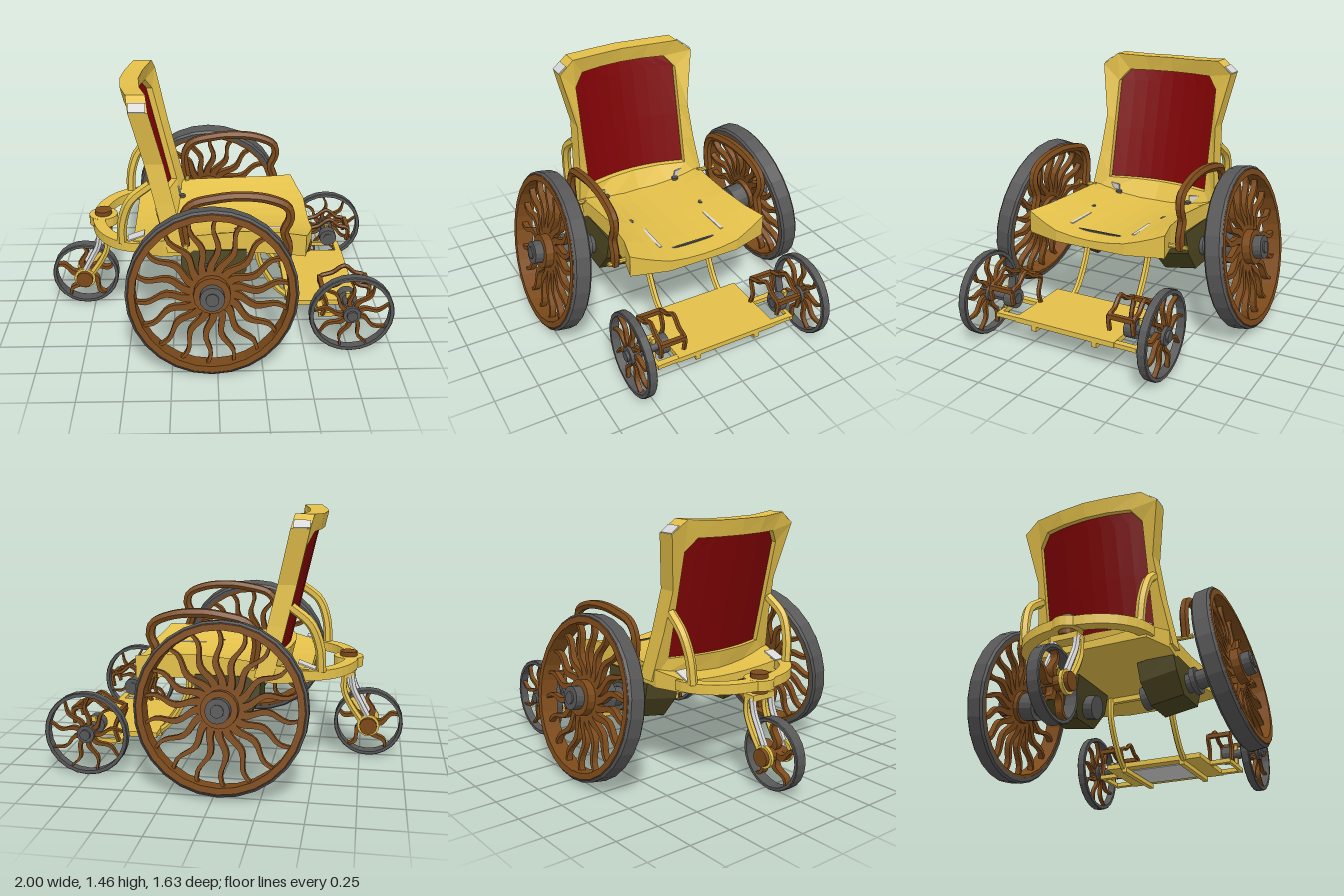
import * as THREE from 'three';

const mat = (name, color, extra = {}) => {
  const m = new THREE.MeshStandardMaterial({ color, flatShading: true, ...extra });
  m.name = name;
  return m;
};
const gold = mat('gold', 0xe3c04a);
const brown = mat('brown', 0x7c4a1a);
const grey = mat('dark grey', 0x575757);
const silver = mat('silver', 0xd8d8d8);
const olive = mat('olive', 0x4a4420);
const red = mat('red', 0x7e0204, { side: THREE.DoubleSide });

function add(parent, name, geometry, material, x = 0, y = 0, z = 0) {
  const m = new THREE.Mesh(geometry, material);
  m.name = name;
  m.position.set(x, y, z);
  parent.add(m);
  return m;
}
const box = (w, h, d) => new THREE.BoxGeometry(w, h, d);
const cylY = (r, h, n = 16) => new THREE.CylinderGeometry(r, r, h, n);
const cylZ = (r, h, n = 16) => cylY(r, h, n).rotateX(Math.PI / 2);
const tube = (pts, r, seg = 16, n = 6) => new THREE.TubeGeometry(
  new THREE.CatmullRomCurve3(pts.map(p => new THREE.Vector3(...p))), seg, r, n);

// Joins equal cross-sections; section points run out along one side and back along the other
function loft(rings, loop = false) {
  const n = rings[0].length, count = rings.length, idx = [];
  const quad = (a, b, c, d) => idx.push(a, b, c, a, c, d);
  for (let i = 0; i < (loop ? count : count - 1); i++) {
    const a = i * n, b = ((i + 1) % count) * n;
    for (let j = 0; j < n; j++) {
      const k = (j + 1) % n;
      quad(a + j, a + k, b + k, b + j);
    }
  }
  if (!loop) {
    const e = (count - 1) * n;
    for (let j = 0; j < n / 2 - 1; j++) {
      quad(n - 1 - j, n - 2 - j, j + 1, j);
      quad(e + j, e + j + 1, e + n - 2 - j, e + n - 1 - j);
    }
  }
  const pts = rings.flat().map(p => new THREE.Vector3(...p));
  // Turn the faces outward
  let volume = 0;
  for (let i = 0; i < idx.length; i += 3)
    volume += pts[idx[i]].dot(pts[idx[i + 1]].clone().cross(pts[idx[i + 2]]));
  if (volume < 0) idx.reverse();
  const g = new THREE.BufferGeometry().setFromPoints(pts);
  g.setIndex(idx);
  g.computeVertexNormals();
  return g;
}

// Hollow ring around the z axis, its outer corners chamfered by c
function ring(r0, r1, width, n, c) {
  const h = width / 2;
  const profile = [[r0, -h], [r1 - c, -h], [r1, c - h], [r1, h - c], [r1 - c, h], [r0, h], [r0, -h]];
  return new THREE.LatheGeometry(profile.map(p => new THREE.Vector2(...p)), n).rotateX(Math.PI / 2);
}

// Tapered wavy spoke lying along +x
function flame(r0, r1, w, amp, waves, depth) {
  const up = [], down = [];
  for (let i = 0; i <= 12; i++) {
    const t = i / 12, r = r0 + (r1 - r0) * t;
    const mid = amp * Math.sin(t * waves * Math.PI * 2), h = w * (1 - 0.65 * t);
    up.push(new THREE.Vector2(r, mid - h));
    down.unshift(new THREE.Vector2(r, mid + h));
  }
  return new THREE.ExtrudeGeometry(new THREE.Shape([...up, ...down]), { depth, bevelEnabled: false })
    .translate(0, 0, -depth / 2);
}
function spokes(parent, n, geometry) {
  for (let i = 0; i < n; i++) add(parent, 'spoke', geometry, brown).rotation.z = (i + 0.3) / n * Math.PI * 2;
}

// Depth of the curved, reclined backrest at a height and a sideways position
const backX = (y, z) => -0.33 - 0.23 * (y - 0.69) + 0.55 * Math.min(z * z, 0.109);

function buildSeat(root) {
  // Dished slab: x, half width, side height, forward bulge of the middle
  const stations = [[-0.47, 0.36, 0.61, 0], [-0.3, 0.42, 0.64, 0], [-0.1, 0.395, 0.66, 0], [0.15, 0.38, 0.675, 0],
    [0.36, 0.395, 0.675, 0], [0.5, 0.43, 0.67, 0.06]];
  const across = [-1, -0.85, -0.68, -0.5, -0.25, 0, 0.25, 0.5, 0.68, 0.85, 1];
  add(root, 'seat', loft(stations.map(([x, w, h, bulge]) => {
    const top = across.map(t => [x + bulge * Math.min(1, 2 * (1 - Math.abs(t))), 0.585 + (h - 0.585) * t * t, w * t]);
    return [...top, ...top.map(([px, , z]) => [px, 0.54, z]).reverse()];
  })), gold);
  for (const s of [-1, 1]) {
    for (const x of [-0.2, 0.125]) add(root, 'seatBolt', cylY(0.02, 0.02, 10), grey, x, 0.611, s * 0.24);
    add(root, 'seatSlot', box(0.2, 0.008, 0.018), silver, 0.32, 0.607, s * 0.2);
  }
  add(root, 'seatSlot', box(0.012, 0.008, 0.36), grey, 0.44, 0.592, 0);
}

function buildBack(root) {
  // Frame as pairs of inner and outer points: z, y, z, y
  const half = [[0.16, 0.69, 0.2, 0.59], [0.33, 0.69, 0.43, 0.57], [0.33, 0.85, 0.39, 0.85],
    [0.33, 1.05, 0.37, 1.08], [0.33, 1.29, 0.43, 1.39], [0.27, 1.36, 0.34, 1.46], [0.14, 1.36, 0.17, 1.45]];
  const pairs = [[0, 0.69, 0, 0.58], ...half, [0, 1.36, 0, 1.45],
    ...half.map(([a, b, c, d]) => [-a, b, -c, d]).reverse()];
  add(root, 'backFrame', loft(pairs.map(([zi, yi, zo, yo]) => [
    [backX(yi, zi) + 0.035, yi, zi], [backX(yo, zo) + 0.075, yo, zo],
    [backX(yo, zo) - 0.03, yo, zo], [backX(yi, zi) - 0.03, yi, zi]]), true), gold);

  // Curved upholstery panel with clipped top corners
  const rows = [[1.36, 0.27], [1.29, 0.33], [0.99, 0.33], [0.69, 0.33]];
  const panel = new THREE.PlaneGeometry(2, 1, 8, 3), p = panel.attributes.position;
  for (let i = 0; i < p.count; i++) {
    const [y, w] = rows[Math.floor(i / 9)], z = p.getX(i) * w;
    p.setXYZ(i, backX(y, z), y, z);
  }
  panel.computeVertexNormals();
  add(root, 'backPanel', panel, red);

  for (const s of [-1, 1]) {
    add(root, 'backCornerPlate', box(0.09, 0.008, 0.06), silver, -0.415, 1.411, s * 0.407).rotation.x = s * 0.66;
    add(root, 'backGusset', box(0.1, 0.008, 0.07), silver, -0.45, 0.63, s * 0.33).rotation.z = 0.35;
    // Pale plate on the lower corner, facing forward
    add(root, 'backFootPlate', box(0.008, 0.035, 0.09), silver, -0.225, 0.64, s * 0.285).rotation.y = -s * 0.3;
    add(root, 'backBrace', tube([[-0.53, 0.6, s * 0.35], [-0.52, 0.74, s * 0.36], [-0.47, 0.87, s * 0.37],
      [-0.36, 0.96, s * 0.36]], 0.028), gold);
  }
}

function buildArmrest(root, s) {
  const path = [[-0.17, 0.64], [-0.185, 0.8], [-0.14, 0.88], [0, 0.92], [0.13, 0.932], [0.28, 0.915], [0.385, 0.865],
    [0.4, 0.8], [0.37, 0.72], [0.395, 0.64], [0.39, 0.56]];
  add(root, 'armrest', tube(path.map(([x, y]) => [x, y, s * 0.468]), 0.027, 40), brown);
  for (const [x, y] of [[-0.17, 0.645], [0.39, 0.575]])
    add(root, 'armrestBolt', cylZ(0.014, 0.12, 8), gold, x, y, s * 0.45);
}

function buildMainWheel(root, s) {
  // Cambered drive wheel
  const tilt = new THREE.Group();
  tilt.name = 'mainWheel';
  tilt.position.set(-0.03, 0.472, s * 0.685);
  tilt.rotation.x = -s * 0.165;
  root.add(tilt);
  add(tilt, 'tyre', ring(0.43, 0.464, 0.105, 28, 0.012), grey);
  add(tilt, 'rim', ring(0.412, 0.45, 0.106, 28, 0.004), brown, 0, 0, s * 0.003);
  spokes(tilt, 18, flame(0.07, 0.42, 0.023, 0.018, 1.5, 0.035));
  add(tilt, 'hub', cylZ(0.1, 0.11), brown, 0, 0, s * 0.01);
  add(tilt, 'hubCap', cylZ(0.066, 0.09), grey, 0, 0, s * 0.07);
  add(tilt, 'hubBolt', cylZ(0.035, 0.012, 12), grey, 0, 0, s * 0.118);
  add(tilt, 'innerHub', cylZ(0.085, 0.09), grey, 0, 0, -s * 0.09);
  add(tilt, 'axle', cylZ(0.055, 0.26), grey, 0, 0, -s * 0.23);
  add(tilt, 'axleFlange', cylZ(0.08, 0.03), grey, 0, 0, -s * 0.22);
  // Tapered gearbox and motor below the seat
  const slab = (y, x0, x1, z0, z1) => [[x0, y, z0], [x1, y, z0], [x1, y, z1], [x0, y, z1]];
  add(root, 'gearbox', loft([slab(0.12, -0.185, 0.185, -0.11, 0.11), slab(0, -0.185, 0.185, -0.11, 0.11),
    slab(-0.12, -0.11, 0.1, -0.1, 0.1)]), olive, -0.015, 0.43, s * 0.31).rotation.x = -s * 0.165;
  add(root, 'motor', cylZ(0.07, 0.12), grey, -0.03, 0.39, s * 0.21).rotation.x = -s * 0.165;
}

function buildFootrest(root) {
  add(root, 'footplate', box(0.42, 0.03, 0.62), gold, 0.63, 0.16, 0);
  add(root, 'footplateUnderside', box(0.3, 0.006, 0.34), silver, 0.64, 0.143, 0);
  add(root, 'hangerCrossbar', box(0.03, 0.03, 0.42), gold, 0.26, 0.525, 0);
  for (const s of [-1, 1]) {
    add(root, 'hanger', tube([[0.25, 0.55, s * 0.2], [0.25, 0.42, s * 0.2], [0.29, 0.32, s * 0.2],
      [0.37, 0.2, s * 0.2], [0.43, 0.15, s * 0.2]], 0.02), gold);
    add(root, 'footplateRail', box(0.42, 0.045, 0.03), gold, 0.63, 0.14, s * 0.19);
    add(root, 'wheelArm', box(0.035, 0.025, 0.16), gold, 0.61, 0.16, s * 0.36);
    add(root, 'wheelArm', box(0.035, 0.025, 0.16), gold, 0.82, 0.16, s * 0.36);
    add(root, 'wheelArmRail', box(0.25, 0.025, 0.02), gold, 0.715, 0.16, s * 0.43);
    add(root, 'wheelPost', box(0.025, 0.14, 0.02), gold, 0.755, 0.23, s * 0.43);
  }
}

function buildFrontWheel(root, s) {
  const g = new THREE.Group();
  g.name = 'frontWheel';
  g.position.set(0.757, 0.242, s * 0.55);
  root.add(g);
  add(g, 'tyre', ring(0.217, 0.24, 0.048, 24, 0.004), grey);
  spokes(g, 9, flame(0.03, 0.222, 0.014, 0.014, 1.2, 0.025));
  add(g, 'hub', cylZ(0.05, 0.06), grey);
  add(g, 'axle', cylZ(0.03, 0.25, 12), grey, 0, 0, -s * 0.08);
  add(g, 'innerHub', cylZ(0.055, 0.06), grey, 0, 0, -s * 0.17);
  // Brown arched guard between wheel and footplate
  const arch = [[0.61, 0.16], [0.63, 0.24], [0.605, 0.33], [0.68, 0.36], [0.75, 0.405], [0.81, 0.36], [0.87, 0.34], [0.865, 0.26]];
  for (const z of [0.3, 0.44])
    add(root, 'wheelGuard', tube(arch.map(([x, y]) => [x, y, s * z]), 0.014, 28, 5), brown);
  for (const [x, y] of [arch[2], arch[6]])
    add(root, 'guardCrossbar', box(0.025, 0.025, 0.15), brown, x, y, s * 0.37);
}

function buildRearCaster(root) {
  // Curved tail bar carrying the caster
  const bar = [];
  for (let i = 0; i <= 20; i++) {
    const a = Math.PI * i / 20, c = Math.cos(a), n = Math.sin(a);
    const at = (rx, rz, y) => [-0.43 - rx * n, y, rz * c];
    bar.push([at(0.3, 0.39, 0.61), at(0.23, 0.32, 0.61), at(0.23, 0.32, 0.555), at(0.3, 0.39, 0.555)]);
  }
  add(root, 'tailBar', loft(bar), gold);
  add(root, 'pivotBoss', cylY(0.085, 0.057), gold, -0.67, 0.582, 0);
  add(root, 'pivotCap', cylY(0.05, 0.03), brown, -0.67, 0.622, 0);
  add(root, 'pivotCollar', cylY(0.05, 0.03), brown, -0.67, 0.54, 0);
  add(root, 'forkCrown', box(0.08, 0.035, 0.16), gold, -0.67, 0.51, 0);
  for (const s of [-1, 1]) {
    const z = s * 0.068;
    add(root, 'forkLeg', tube([[-0.65, 0.51, z], [-0.65, 0.42, z], [-0.69, 0.33, z], [-0.78, 0.2, z]], 0.02), gold);
    add(root, 'forkStrut', tube([[-0.69, 0.51, z], [-0.705, 0.43, z], [-0.745, 0.35, z], [-0.81, 0.23, z]], 0.02), silver);
    add(root, 'axleMount', cylZ(0.065, 0.02), gold, -0.797, 0.21, s * 0.075);
    add(root, 'axleCap', cylZ(0.05, 0.03), brown, -0.797, 0.21, s * 0.092);
  }
  const g = new THREE.Group();
  g.name = 'rearWheel';
  g.position.set(-0.797, 0.21, 0);
  root.add(g);
  add(g, 'tyre', ring(0.182, 0.202, 0.068, 24, 0.004), grey);
  add(g, 'hub', cylZ(0.04, 0.16, 12), brown);
  spokes(g, 5, flame(0.03, 0.187, 0.02, 0.02, 1, 0.04));
}

export function createModel() {
  const root = new THREE.Group();
  root.name = 'wheelchair';
  buildSeat(root);
  buildBack(root);
  buildFootrest(root);
  buildRearCaster(root);
  for (const s of [-1, 1]) {
    buildArmrest(root, s);
    buildMainWheel(root, s);
    buildFrontWheel(root, s);
  }
  return root;
}
